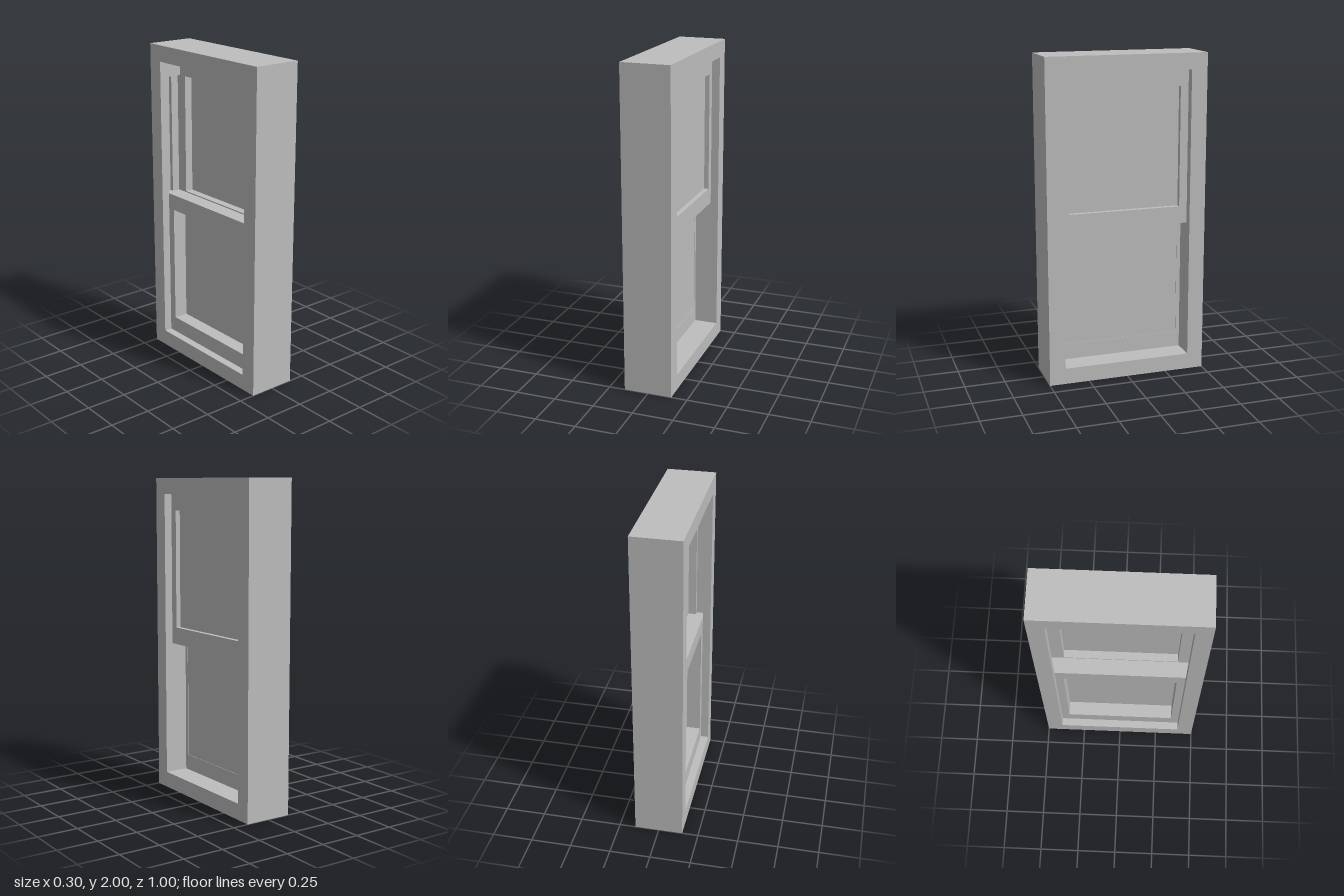
import * as THREE from 'three';

// Closed outline from [z, y] points
const trace = (path, pts) => {
  pts.forEach(([z, y], i) => (i ? path.lineTo(z, y) : path.moveTo(z, y)));
  path.closePath();
  return path;
};
const rect = (half, y0, y1) => [[-half, y0], [half, y0], [half, y1], [-half, y1]];

export function createModel() {
  const model = new THREE.Group();
  const paint = new THREE.MeshStandardMaterial({ color: 0xbdbdbd });
  paint.name = 'grey paint';

  // Slab with a hole, running from x0 to x1
  const ring = (parent, name, outer, hole, x0, x1) => {
    const shape = trace(new THREE.Shape(), outer);
    shape.holes.push(trace(new THREE.Path(), hole));
    const geo = new THREE.ExtrudeGeometry(shape, { depth: x1 - x0, bevelEnabled: false });
    geo.rotateY(Math.PI / 2).translate(x0, 0, 0);
    const mesh = new THREE.Mesh(geo, paint);
    mesh.name = name;
    parent.add(mesh);
  };
  const box = (parent, name, x0, x1, y0, y1, z0, z1) => {
    const geo = new THREE.BoxGeometry(x1 - x0, y1 - y0, z1 - z0);
    geo.translate((x0 + x1) / 2, (y0 + y1) / 2, (z0 + z1) / 2);
    const mesh = new THREE.Mesh(geo, paint);
    mesh.name = name;
    parent.add(mesh);
  };
  const group = (name) => {
    const g = new THREE.Group();
    g.name = name;
    model.add(g);
    return g;
  };

  // Outer frame, with stepped sliding grooves cut into both jambs
  const frame = group('frame');
  const outer = rect(0.5, 0, 2);
  const plain = rect(0.4, 0.1, 1.9);
  const grooved = (w) => [[-w, 0.1], [w, 0.1], [w, 1.8], [0.4, 1.8],
    [0.4, 1.9], [-0.4, 1.9], [-0.4, 1.8], [-w, 1.8]];
  ring(frame, 'innerStop', outer, plain, -0.15, -0.1);
  ring(frame, 'deepGroove', outer, grooved(0.45), -0.1, -0.05);
  ring(frame, 'shallowGroove', outer, grooved(0.425), -0.05, 0);
  ring(frame, 'outerFrame', outer, plain, 0, 0.15);

  // Fixed upper sash
  const upper = group('upperSash');
  ring(upper, 'upperSashFrame', rect(0.4, 0.95, 1.9), rect(0.35, 1.057, 1.8), 0, 0.1);
  box(upper, 'upperPane', 0.05, 0.07, 1.057, 1.8, -0.35, 0.35);

  // Sliding lower sash, rebated for its pane, with runners in the grooves
  const lower = group('lowerSash');
  const lowerOuter = rect(0.4, 0.1, 1.05);
  ring(lower, 'lowerSashFrame', lowerOuter, rect(0.35, 0.2, 0.95), -0.1, -0.01);
  ring(lower, 'paneRebate', lowerOuter, rect(0.375, 0.2, 0.95), -0.01, 0);
  box(lower, 'lowerPane', -0.01, -0.003, 0.2, 0.95, -0.375, 0.375);
  for (const s of [-1, 1]) {
    const runner = (w, x0, x1) =>
      box(lower, 'runner', x0, x1, 0.1, 1.05, Math.min(s * 0.4, s * w), Math.max(s * 0.4, s * w));
    runner(0.45, -0.1, -0.05);
    runner(0.425, -0.05, 0);
  }
  return model;
}
